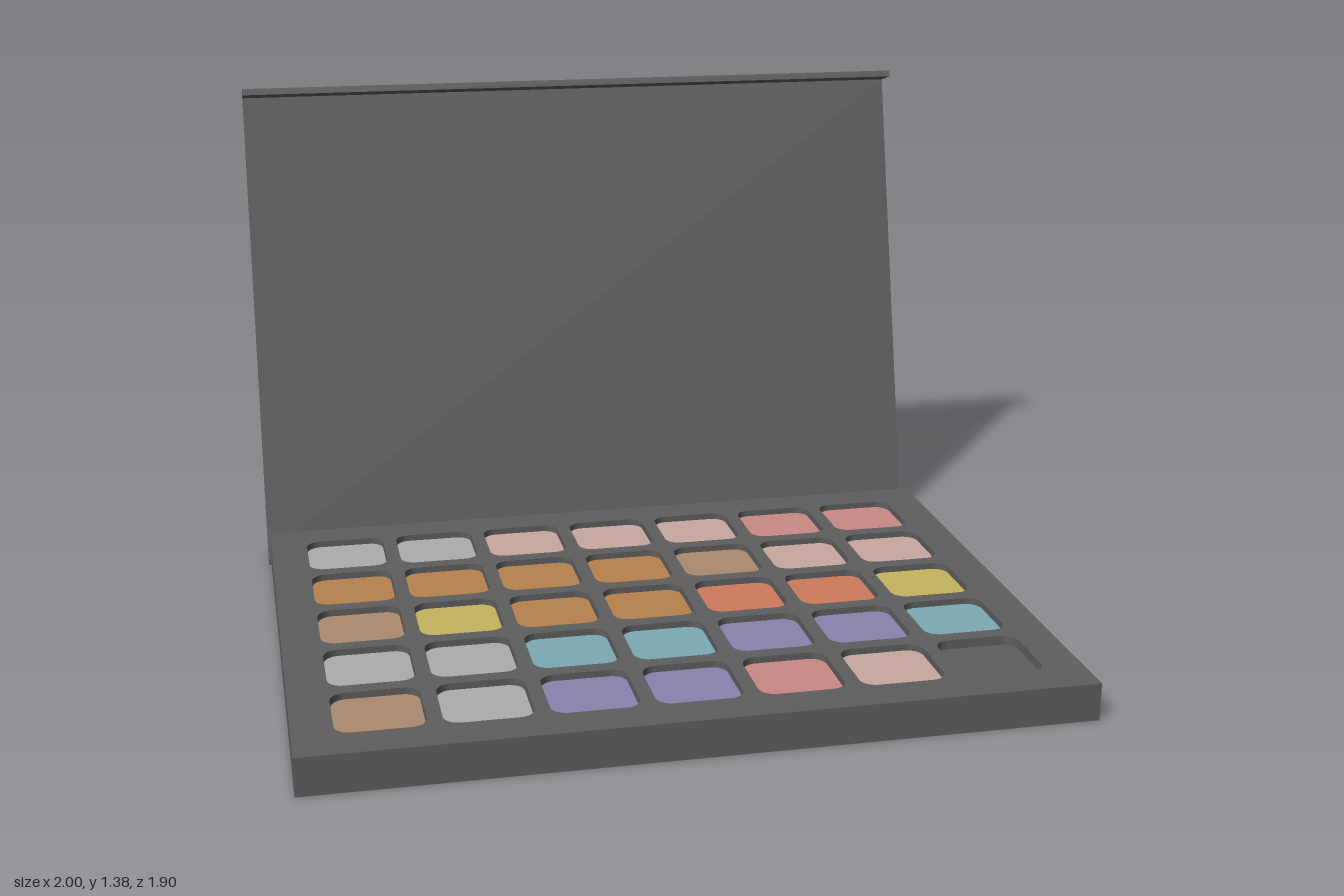
import * as THREE from 'three';

const colours = {
  shell: 0x5e5e5e, silver: 0xaeacaf, blush: 0xc8a8a0, rose: 0xca8a86, orange: 0xb8824e,
  tan: 0xab8b6e, yellow: 0xc5b45f, coral: 0xce7b5b, teal: 0x7cabb4, violet: 0x8a82ae,
};

// Layout of the pans, back row first; null is an empty well
const rows = [
  ['silver', 'silver', 'blush', 'blush', 'blush', 'rose', 'rose'],
  ['orange', 'orange', 'orange', 'orange', 'tan', 'blush', 'blush'],
  ['tan', 'yellow', 'orange', 'orange', 'coral', 'coral', 'yellow'],
  ['silver', 'silver', 'teal', 'teal', 'violet', 'violet', 'teal'],
  ['tan', 'silver', 'violet', 'violet', 'rose', 'blush', null],
];
const WELL = 0.222, RADIUS = 0.04, TRAY_TOP = 0.1, DEPTH = 0.025;
const TRAY_BACK = -0.53, TRAY_FRONT = 0.95, TRAY_HALF = 0.993;
const wellX = (i) => (i - 3) * 0.26;
const wellZ = (j) => -0.32 + j * 0.2635;

// Traces a rounded square onto a Shape or Path
function roundedSquare(path, cx, cy, size, r) {
  const h = size / 2, d = h - r;
  path.absarc(cx + d, cy + d, r, 0, Math.PI / 2);
  path.absarc(cx - d, cy + d, r, Math.PI / 2, Math.PI);
  path.absarc(cx - d, cy - d, r, Math.PI, Math.PI * 1.5);
  path.absarc(cx + d, cy - d, r, Math.PI * 1.5, Math.PI * 2);
  path.closePath();
  return path;
}

// Flat slab hanging down from y = 0, shape y becoming z
function slab(shape, depth) {
  return new THREE.ExtrudeGeometry(shape, { depth, bevelEnabled: false, curveSegments: 6 }).rotateX(Math.PI / 2);
}

export function createModel() {
  const model = new THREE.Group();
  const mats = {};
  for (const [name, color] of Object.entries(colours)) {
    mats[name] = new THREE.MeshStandardMaterial({ color });
    mats[name].name = name;
  }
  const add = (parent, name, geometry, material) => {
    const mesh = new THREE.Mesh(geometry, material);
    mesh.name = name;
    parent.add(mesh);
    return mesh;
  };

  // Tray: solid floor with a pierced top plate
  const tray = new THREE.Group();
  tray.name = 'tray';
  model.add(tray);
  const floorTop = TRAY_TOP - DEPTH;
  const floor = add(tray, 'trayFloor',
    new THREE.BoxGeometry(TRAY_HALF * 2, floorTop, TRAY_FRONT - TRAY_BACK), mats.shell);
  floor.position.set(0, floorTop / 2, (TRAY_FRONT + TRAY_BACK) / 2);

  const plate = new THREE.Shape([
    [-TRAY_HALF, TRAY_BACK], [TRAY_HALF, TRAY_BACK], [TRAY_HALF, TRAY_FRONT], [-TRAY_HALF, TRAY_FRONT],
  ].map(([x, z]) => new THREE.Vector2(x, z)));
  rows.forEach((row, j) => row.forEach((_, i) =>
    plate.holes.push(roundedSquare(new THREE.Path(), wellX(i), wellZ(j), WELL, RADIUS))));
  add(tray, 'trayTop', slab(plate, DEPTH), mats.shell).position.y = TRAY_TOP;

  // Colour pans set into the wells
  const pans = new THREE.Group();
  pans.name = 'pans';
  model.add(pans);
  const panGeometry = slab(roundedSquare(new THREE.Shape(), 0, 0, WELL - 0.003, RADIUS), 0.008);
  rows.forEach((row, j) => row.forEach((colour, i) => {
    if (!colour) return;
    add(pans, colour + 'Pan', panGeometry, mats[colour])
      .position.set(wellX(i), floorTop + 0.008, wellZ(j));
  }));

  // Cover: hinge strip, leaning lid and folded front flap as one bent sheet (z, y)
  const profile = new THREE.Shape([
    [-0.53, 0], [-0.615, 0], [-0.95, 1.354], [-0.853, 1.378],
    [-0.848, 1.36], [-0.926, 1.34], [-0.599, 0.018], [-0.53, 0.018],
  ].map(([z, y]) => new THREE.Vector2(z, y)));
  const cover = new THREE.ExtrudeGeometry(profile, { depth: 2, bevelEnabled: false });
  cover.translate(0, 0, -1).rotateY(-Math.PI / 2);
  add(model, 'cover', cover, mats.shell);

  return model;
}
